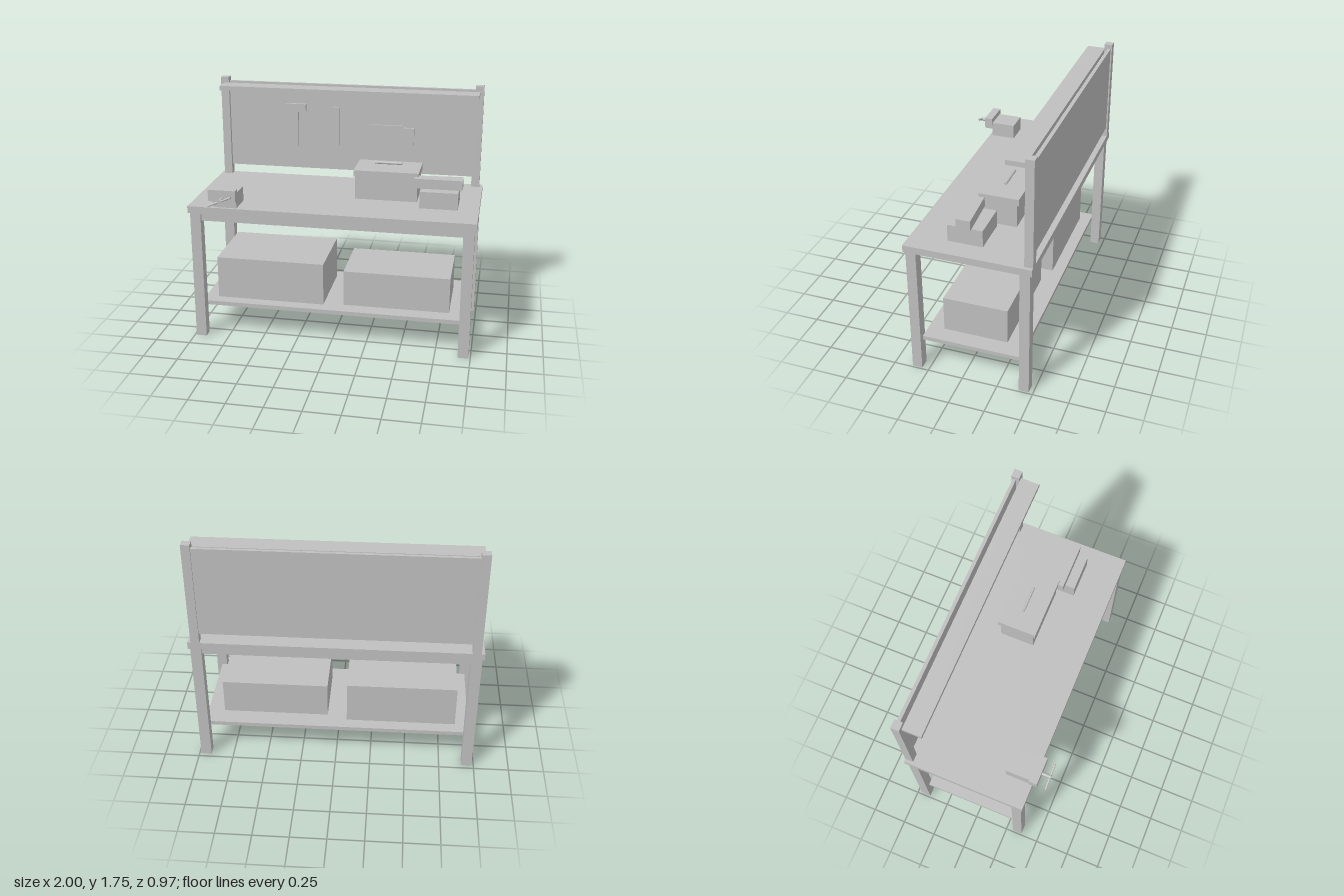
import * as THREE from 'three';

export function createModel() {
  const model = new THREE.Group();
  model.name = 'workbench';
  const grey = new THREE.MeshStandardMaterial({ color: 0xbfbfbf });
  grey.name = 'plain grey';

  function add(name, geometry, parent = model) {
    const mesh = new THREE.Mesh(geometry, grey);
    mesh.name = name;
    parent.add(mesh);
    return mesh;
  }
  // Box given by its limits along each axis
  function box(name, x0, x1, y0, y1, z0, z1, parent) {
    const mesh = add(name, new THREE.BoxGeometry(x1 - x0, y1 - y0, z1 - z0), parent);
    mesh.position.set((x0 + x1) / 2, (y0 + y1) / 2, (z0 + z1) / 2);
    return mesh;
  }
  function rod(name, radius, length, x, y, z, parent) {
    const mesh = add(name, new THREE.CylinderGeometry(radius, radius, length, 12), parent);
    mesh.position.set(x, y, z);
    return mesh;
  }
  function group(name) {
    const g = new THREE.Group();
    g.name = name;
    model.add(g);
    return g;
  }

  // Table
  box('tabletop', -1, 1, 0.95, 1, -0.485, 0.383);
  for (const side of [-1, 1]) {
    const x0 = side < 0 ? -0.987 : 0.912;
    box('frontLeg', x0, x0 + 0.075, 0, 0.95, 0.3, 0.37);
    box('backLeg', x0, x0 + 0.075, 0, 0.95, -0.47, -0.4);
  }
  box('frontApron', -0.912, 0.912, 0.888, 0.95, 0.315, 0.35);
  box('backApron', -0.912, 0.912, 0.888, 0.95, -0.45, -0.415);
  box('lowerShelf', -0.95, 0.95, 0.22, 0.25, -0.4, 0.3);

  // Storage boxes on the lower shelf
  box('largeStorageBox', -0.855, -0.072, 0.25, 0.56, -0.315, 0.215);
  box('smallStorageBox', 0.07, 0.83, 0.25, 0.51, -0.268, 0.19);

  // Back board with posts and top shelf
  for (const side of [-1, 1]) {
    const x0 = side < 0 ? -0.977 : 0.917;
    box('backPost', x0, x0 + 0.06, 1, 1.75, -0.485, -0.427);
  }
  box('backPanel', -0.917, 0.917, 1.07, 1.72, -0.475, -0.452);
  box('topShelf', -0.95, 0.95, 1.677, 1.71, -0.427, -0.295);

  // Hanging tools
  const tools = group('hangingTools');
  box('hammerHead', -0.485, -0.33, 1.507, 1.567, -0.452, -0.43, tools);
  box('hammerHandle', -0.426, -0.389, 1.24, 1.507, -0.452, -0.432, tools);
  box('chisel', -0.123, -0.073, 1.263, 1.553, -0.452, -0.432, tools);
  box('sawBlade', 0.145, 0.407, 1.297, 1.432, -0.452, -0.438, tools);
  box('sawHandle', 0.405, 0.483, 1.29, 1.418, -0.452, -0.43, tools);

  // Toolbox
  const toolbox = group('toolbox');
  box('toolboxBody', 0.12, 0.56, 1, 1.168, -0.24, 0.005, toolbox);
  box('toolboxLid', 0.11, 0.57, 1.168, 1.215, -0.257, 0.022, toolbox);
  rod('toolboxHandle', 0.01, 0.193, 0.34, 1.24, -0.12, toolbox).rotation.z = Math.PI / 2;

  // Small block with a tapered piece on top
  const block = group('blockStack');
  box('blockBase', 0.59, 0.855, 1, 1.12, -0.112, 0.13, block);
  const outline = new THREE.Shape();
  outline.moveTo(0.543, -0.06);
  outline.lineTo(0.878, -0.06);
  outline.lineTo(0.878, 0.038);
  outline.lineTo(0.543, 0.018);
  outline.closePath();
  const taper = add('taperedBlock', new THREE.ExtrudeGeometry(outline, { depth: 0.07, bevelEnabled: false }), block);
  taper.rotation.x = -Math.PI / 2;
  taper.position.y = 1.12;

  // Bench vise
  const vise = group('vise');
  box('viseBase', -0.815, -0.65, 1, 1.106, 0.19, 0.365, vise);
  box('viseJaw', -0.833, -0.64, 1.06, 1.142, 0.362, 0.42, vise);
  rod('viseScrew', 0.013, 0.065, -0.735, 1.082, 0.4525, vise).rotation.x = Math.PI / 2;
  rod('viseHandle', 0.007, 0.18, -0.735, 1.08, 0.478, vise).rotation.z = 0.4 - Math.PI / 2;

  return model;
}
